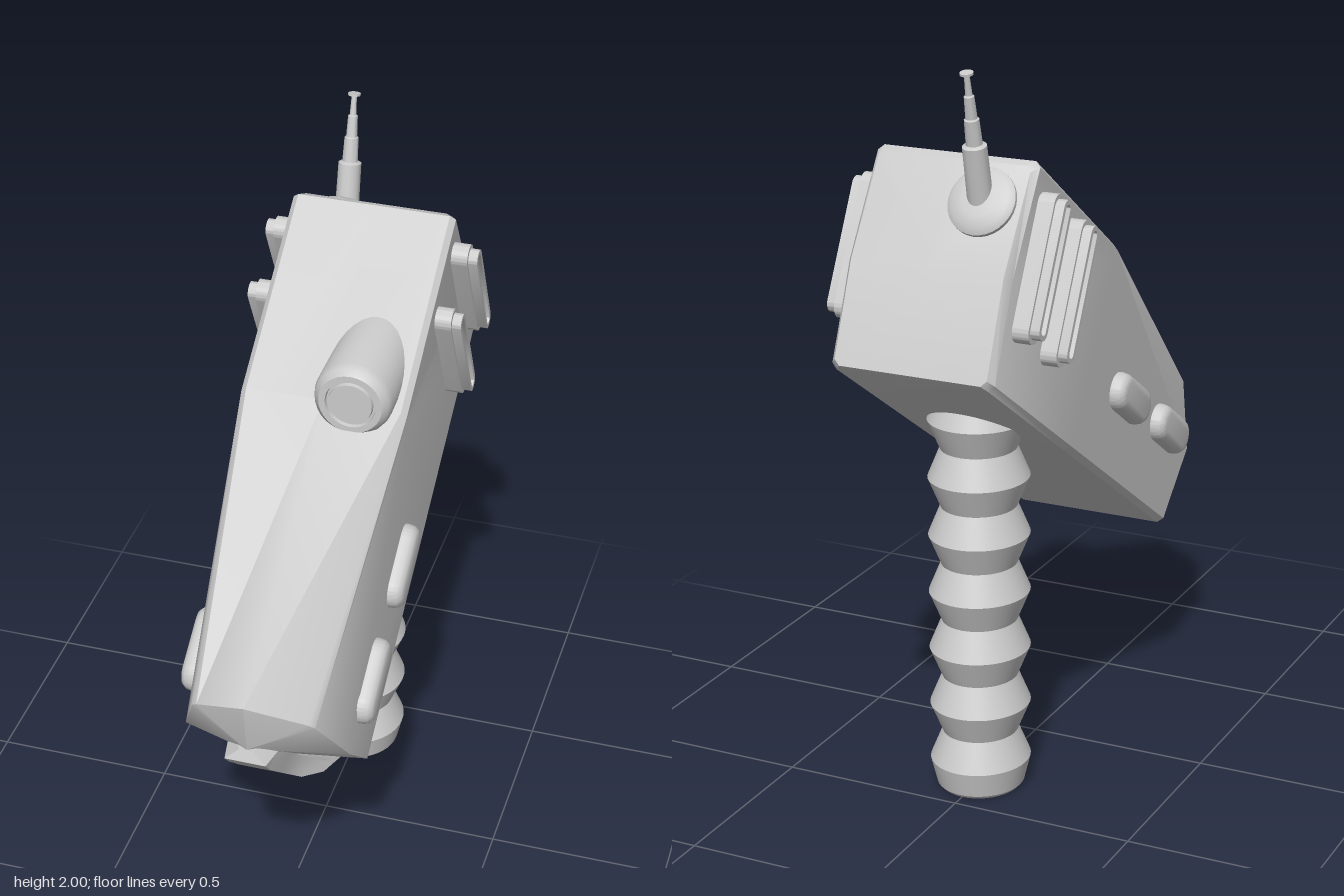
import * as THREE from 'three';
import { toCreasedNormals } from 'three/addons/utils/BufferGeometryUtils.js';

const material = new THREE.MeshStandardMaterial({ color: 0xcccccc });

function part(name, geometry, crease = 0.6) {
  const mesh = new THREE.Mesh(toCreasedNormals(geometry, crease), material);
  mesh.name = name;
  return mesh;
}

// Skin closed rings, each given as its right half, and close both ends with fans
function loft(halves, startCentre, endCentre) {
  const rings = halves.map((h) => [
    ...h,
    ...h.filter((p) => p[0] > 0).reverse().map(([x, y, z]) => [-x, y, z]),
  ]);
  const n = rings[0].length;
  const points = [...rings.flat(), startCentre, endCentre];
  const start = points.length - 2, end = points.length - 1, last = (rings.length - 1) * n;
  const index = [];
  for (let j = 0; j < n; j++) {
    const k = (j + 1) % n;
    for (let i = 0; i < rings.length - 1; i++) {
      const a = i * n + j, b = i * n + k;
      index.push(a, b, b + n, a, b + n, a + n);
    }
    index.push(start, k, j, end, last + j, last + k);
  }
  const g = new THREE.BufferGeometry();
  g.setAttribute('position', new THREE.Float32BufferAttribute(points.flat(), 3));
  g.setIndex(index);
  return g;
}

// Half section of the body: bottom, middle and top edge plus ridge, as [z, y]
function section(B, M, T, C, w, wTop, e = 0.015) {
  const toward = (p, q) => {
    const t = e / Math.hypot(q[0] - p[0], q[1] - p[1]);
    return [p[0] + (q[0] - p[0]) * t, p[1] + (q[1] - p[1]) * t];
  };
  const at = (x, [z, y]) => [x, y, z];
  return [
    at(w - e, B), at(w, toward(B, M)), at(w, M),
    at(wTop, toward(T, M)), at(wTop - e, T), at(0, C),
  ];
}

// Rounded-end slot outline standing along y
function pill(Outline, length, width) {
  const r = width / 2, h = length / 2 - r;
  const s = new Outline();
  s.absarc(0, h, r, 0, Math.PI, false);
  s.absarc(0, -h, r, Math.PI, Math.PI * 2, false);
  s.closePath();
  return s;
}

function extrude(shape, depth, bevel = 0, bevelDepth = bevel) {
  return new THREE.ExtrudeGeometry(shape, {
    depth, curveSegments: 14, bevelEnabled: bevel > 0,
    bevelSize: bevel, bevelOffset: -bevel, bevelThickness: bevelDepth, bevelSegments: 3,
  });
}

function lathe(profile, segments = 32) {
  return new THREE.LatheGeometry(profile.map(([r, y]) => new THREE.Vector2(r, y)), segments);
}

export function createModel() {
  const model = new THREE.Group();
  model.name = 'handheldDevice';

  // Slanted casing with a tapered, ridged front end
  model.add(part('casing', loft([
    section([-0.725, 1.262], [-0.625, 1.51], [-0.465, 1.752], [-0.465, 1.752], 0.21, 0.21),
    section([-0.71, 1.246], [-0.605, 1.5], [-0.44, 1.76], [-0.44, 1.76], 0.225, 0.225),
    section([-0.25, 0.94], [0.02, 1.4], [0.03, 1.435], [0.03, 1.435], 0.225, 0.225),
    section([0.36, 0.535], [0.54, 0.7], [0.66, 0.875], [0.73, 0.95], 0.225, 0.165),
  ], [0, 1.51, -0.625], [0, 0.8, 0.71])));

  // Flared spout on the front end: y, z, front half width, root half width
  const spout = [
    [0.8, 0.715, 0.02, 0.04], [0.77, 0.725, 0.055, 0.07], [0.73, 0.69, 0.055, 0.085],
    [0.65, 0.605, 0.06, 0.09], [0.58, 0.53, 0.09, 0.13], [0.55, 0.46, 0.13, 0.16],
  ];
  model.add(part('spout', loft(
    spout.map(([y, z, wf, wb]) => [[wb, y, z - 0.08], [wf, y, z]]),
    [0, 0.8, 0.68], [0, 0.55, 0.42])));

  // Ribbed oval grip
  const grip = [[0, 0], [0.115, 0], [0.125, 0.01]];
  for (let i = 0; i < 14; i++) grip.push([i % 2 ? 0.108 : 0.143, 0.08 * (i + 1)]);
  const handle = part('grip', lathe(grip, 40).scale(0.93, 1, 1), 0.4);
  handle.position.z = -0.345;
  model.add(handle);

  // Round lens barrel with a grooved face
  const barrel = part('lensBarrel', lathe([
    [0.105, -0.4], [0.105, 0.055], [0.099, 0.076], [0.085, 0.09], [0.068, 0.09],
    [0.066, 0.08], [0.06, 0.08], [0.058, 0.09], [0, 0.09],
  ]));
  barrel.rotation.x = Math.PI / 2;
  barrel.position.set(0.09, 1.475, 0);
  model.add(barrel);

  // Telescopic antenna on a round base plate
  const plate = part('antennaBase', lathe([[0.09, -0.02], [0.09, 0.008], [0.075, 0.02], [0.045, 0.026], [0, 0.026]]));
  plate.rotation.x = -0.97;
  plate.position.set(-0.105, 1.665, -0.525);
  model.add(plate);
  const antenna = part('antenna', lathe([
    [0.033, -0.06], [0.031, 0.13], [0.021, 0.135], [0.019, 0.2], [0.015, 0.203],
    [0.013, 0.26], [0.009, 0.263], [0.007, 0.314], [0.017, 0.316], [0.017, 0.322], [0, 0.322],
  ], 20));
  antenna.rotation.x = -0.21;
  antenna.position.set(-0.1, 1.685, -0.53);
  model.add(antenna);

  // Slotted vents and oval buttons on both sides
  const ventBase = pill(THREE.Shape, 0.38, 0.065);
  ventBase.holes.push(pill(THREE.Path, 0.33, 0.026));
  const ventRim = pill(THREE.Shape, 0.355, 0.05);
  ventRim.holes.push(pill(THREE.Path, 0.33, 0.026));
  const button = pill(THREE.Shape, 0.235, 0.105);
  for (const s of [1, -1]) {
    const side = s > 0 ? 'left' : 'right';
    const place = (name, geometry, x, y, z, angle) => {
      const mesh = part(side + name, geometry);
      mesh.rotation.set(0, s * Math.PI / 2, s * angle);
      mesh.position.set(s * x, y, z);
      model.add(mesh);
    };
    for (const [z, y] of [[-0.345, 1.405], [-0.507, 1.51]]) {
      place('Vent', extrude(ventBase, 0.06), 0.21, y, z, 0.476);
      place('VentRim', extrude(ventRim, 0.03), 0.265, y, z, 0.476);
    }
    for (const [z, y] of [[0.37, 0.815], [0.09, 0.99]]) {
      place('Button', extrude(button, 0.02, 0.025, 0.03), 0.215, y, z, -0.985);
    }
  }
  return model;
}
